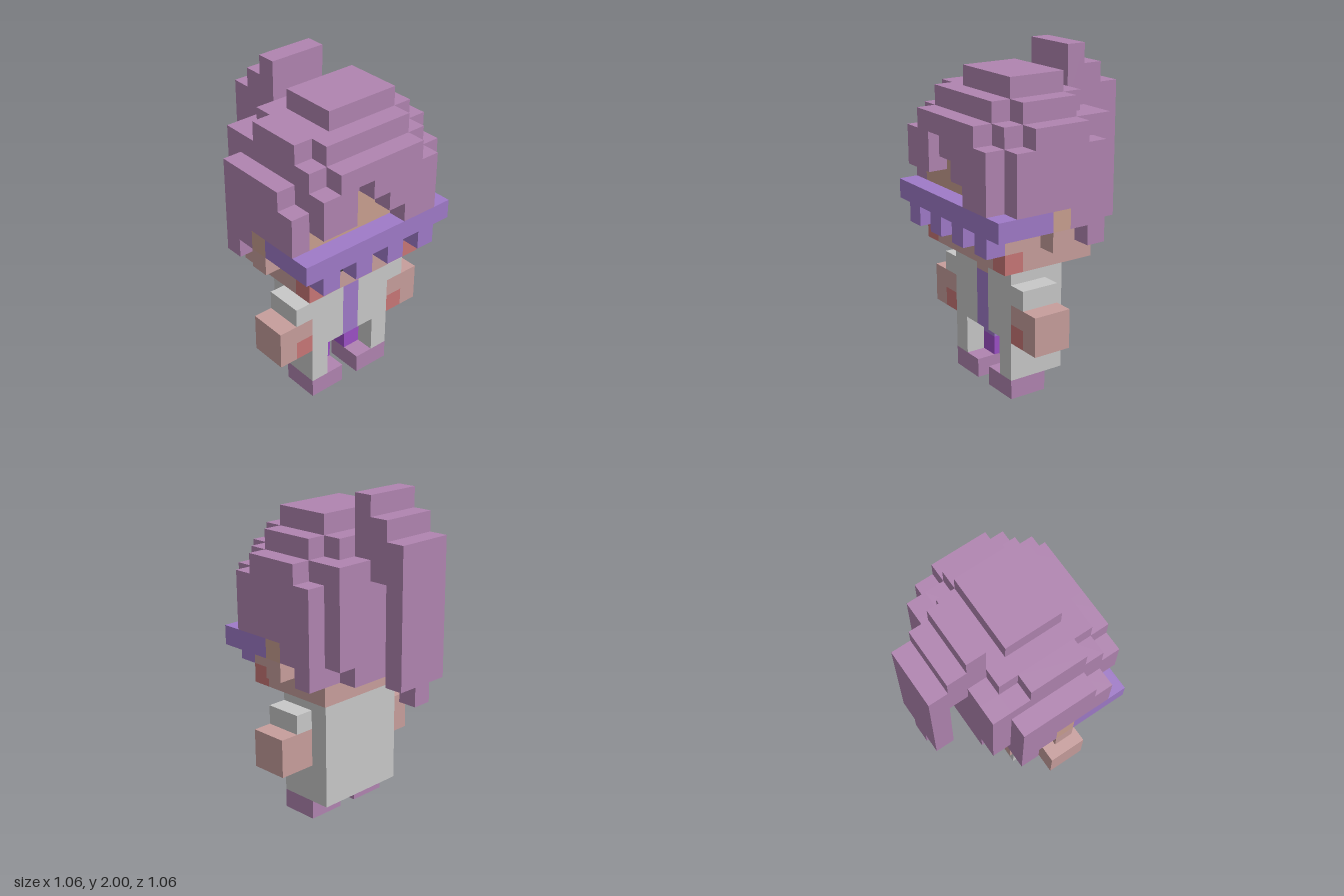
import * as THREE from 'three';

const U = 2 / 17; // one block

export function createModel() {
  const model = new THREE.Group();
  const mat = (name, color) => {
    const m = new THREE.MeshStandardMaterial({ color });
    m.name = name;
    return m;
  };
  const hairMat = mat('mauve hair', 0xb084b0);
  const lilac = mat('lilac cloth', 0x9f7ac8);
  const violet = mat('vivid violet', 0x9c50c6);
  const coatMat = mat('light grey coat', 0xc8c8c8);
  const skin = mat('pink skin', 0xc79e9c);
  const tan = mat('warm skin', 0xc99f90);
  const red = mat('blush red', 0xc87777);
  const dark = mat('dark eye', 0x3c3c3c);

  const part = (name) => {
    const g = new THREE.Group();
    g.name = name;
    model.add(g);
    return g;
  };
  // Block spanning grid cells: x and z run 0..9 across the model, y runs 0..17.
  const block = (group, m, x0, x1, y0, y1, z0, z1) => {
    const geo = new THREE.BoxGeometry((x1 - x0) * U, (y1 - y0) * U, (z1 - z0) * U);
    const mesh = new THREE.Mesh(geo, m);
    mesh.name = group.name + 'Block';
    mesh.position.set(((x0 + x1) / 2 - 4.5) * U, ((y0 + y1) / 2) * U, ((z0 + z1) / 2 - 4.5) * U);
    group.add(mesh);
  };
  const pair = (group, m, x0, x1, ...rest) => {
    block(group, m, x0, x1, ...rest);
    block(group, m, 9 - x1, 9 - x0, ...rest);
  };

  // Shoes and legs
  pair(part('shoes'), hairMat, 2, 4, 0, 1, 5, 7);
  const legs = part('legs');
  pair(legs, violet, 3, 4, 1, 2, 5, 6);
  pair(legs, lilac, 3, 4, 2, 3, 5, 6);

  // Coat, open at the front, with shirt and neck showing
  const coat = part('coat');
  pair(coat, coatMat, 2, 4, 3, 7, 4, 7);
  block(coat, coatMat, 4, 5, 3, 7, 4, 6);
  block(coat, coatMat, 2, 7, 1, 3, 4, 5);
  pair(coat, coatMat, 2, 3, 1, 3, 5, 7);
  block(part('shirt'), lilac, 4, 5, 3, 6, 6, 7);
  block(part('neck'), skin, 4, 5, 6, 7, 6, 7);

  // Sleeves and hands
  pair(part('sleeves'), coatMat, 1, 2, 5, 6, 5, 7);
  const hands = part('hands');
  pair(hands, skin, 0, 1, 3, 5, 5, 7);
  pair(hands, skin, 1, 2, 4, 5, 5, 7);
  pair(hands, skin, 1, 2, 3, 4, 5, 6);
  pair(hands, red, 1, 2, 3, 4, 6, 7);

  // Head, cheeks, ears and eyes
  const head = part('head');
  block(head, skin, 2, 7, 7, 8, 3, 8);
  pair(head, skin, 1, 2, 7, 8, 3, 7);
  block(head, skin, 1, 8, 8, 9, 4, 8);
  block(head, tan, 1, 8, 9, 12, 4, 8);
  pair(part('cheeks'), red, 1, 2, 7, 8, 7, 8);
  const ears = part('ears');
  pair(ears, skin, 0, 1, 8, 9, 5, 6);
  pair(ears, tan, 0, 1, 9, 10, 5, 6);
  pair(part('eyes'), dark, 2, 3, 8, 9, 8, 8.05);

  // Band across the brow, with tabs framing the eyes
  const band = part('browBand');
  block(band, lilac, 0, 9, 9, 10, 8, 9);
  pair(band, lilac, 0, 1, 9, 10, 6, 8);
  pair(band, lilac, 1, 2, 8, 9, 8, 9);
  pair(band, lilac, 3, 4, 8, 9, 8, 9);

  // Crown of the hair, stepped
  const crown = part('hairCrown');
  block(crown, hairMat, 1, 8, 12, 14, 3, 8);
  block(crown, hairMat, 2, 7, 14, 15, 3, 8);
  pair(crown, hairMat, 1, 2, 14, 15, 4, 7);
  block(crown, hairMat, 3, 7, 15, 16, 4, 7);

  // Fringe: [column, bottom, top]
  const fringe = part('fringe');
  [[1, 11, 13], [2, 11, 14], [3, 13, 14], [4, 12, 14], [5, 11, 14], [6, 10, 14], [7, 10, 13]]
    .forEach(([x, y0, y1]) => block(fringe, hairMat, x, x + 1, y0, y1, 8, 9));

  // Side hair: [z, bottom, left top, right top]
  const sides = part('sideHair');
  [[3, 8, 13, 13], [4, 9, 14, 13], [5, 10, 14, 13], [6, 10, 14, 13], [7, 10, 13, 12]]
    .forEach(([z, y0, yl, yr]) => {
      block(sides, hairMat, 8, 9, y0, yl, z, z + 1);
      block(sides, hairMat, 0, 1, y0, yr, z, z + 1);
    });

  // Back hair
  const back = part('backHair');
  block(back, hairMat, 1, 8, 8, 12, 3, 4);
  block(back, hairMat, 2, 7, 8, 14, 2, 3);
  pair(back, hairMat, 1, 2, 9, 14, 2, 3);

  // Ponytail
  const tail = part('ponytail');
  block(tail, hairMat, 3, 6, 14, 17, 2, 3);
  block(tail, hairMat, 3, 6, 13, 16, 1, 2);
  block(tail, hairMat, 3, 6, 8, 15, 0, 1);
  block(tail, hairMat, 4, 5, 7, 8, 0, 1);

  return model;
}
